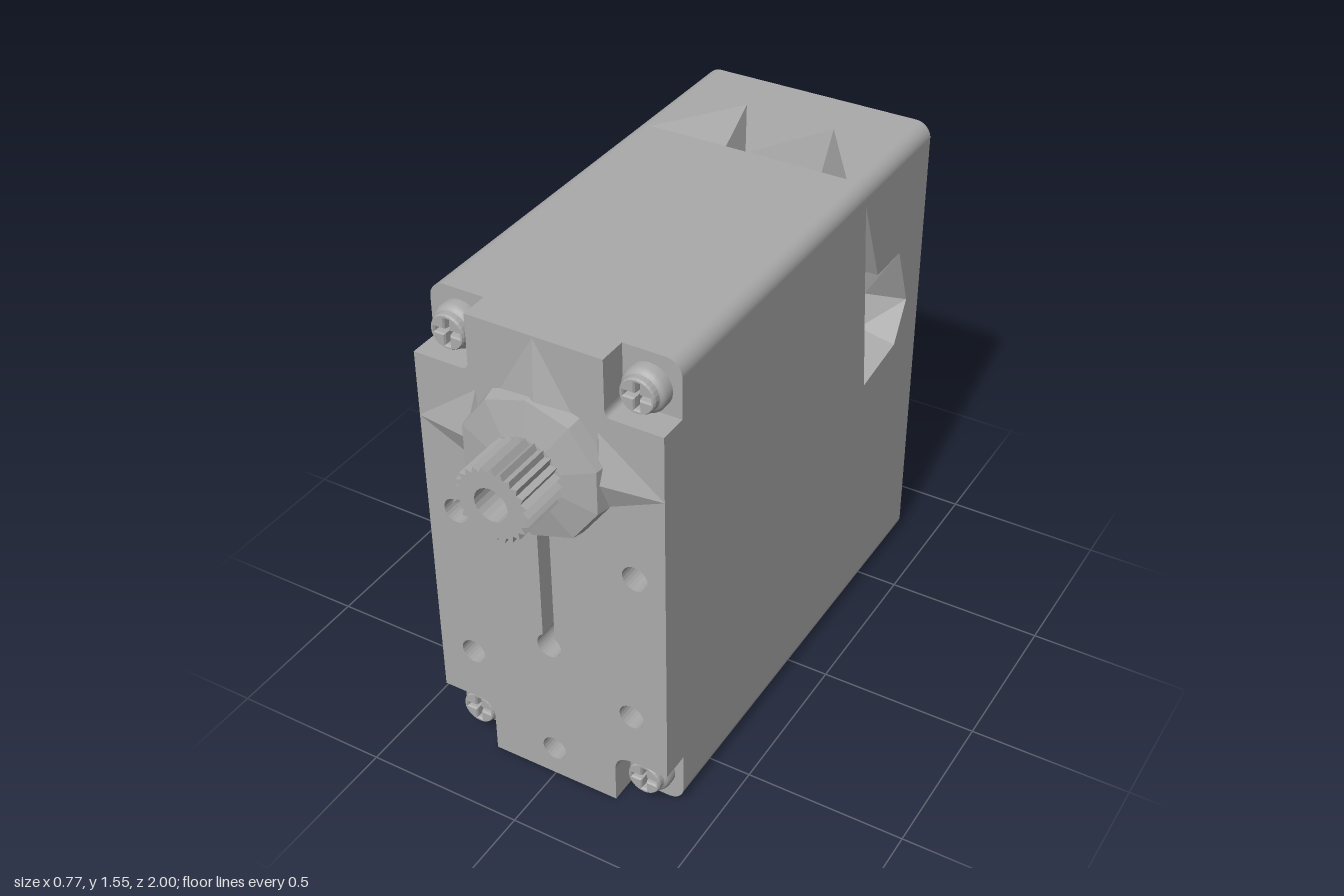
import * as THREE from 'three';

const W = 0.385, H = 1.55, R = 0.05, BACK = -0.78, LEDGE = 0.69, FRONT = 0.78, AXIS = 1.16;
const grey = new THREE.MeshStandardMaterial({ color: 0xaaaaaa, side: THREE.DoubleSide });
grey.name = 'grey plastic';

const poly = (pts, Type = THREE.Shape) => new Type(pts.map(([x, y]) => new THREE.Vector2(x, y)));
const circle = (x, y, r, Type = THREE.Path) => new Type().absarc(x, y, r, 0, Math.PI * 2, false);

function flat(geo) {
  const g = geo.index ? geo.toNonIndexed() : geo;
  g.computeVertexNormals();
  return g;
}

// Flat shape whose (u, v) points are placed in space by a rule
function mapped(shape, place) {
  const g = new THREE.ShapeGeometry(shape, 16), p = g.attributes.position;
  for (let i = 0; i < p.count; i++) p.setXYZ(i, ...place(p.getX(i), p.getY(i), 0));
  return flat(g);
}

function triangles(list) {
  const g = new THREE.BufferGeometry();
  g.setAttribute('position', new THREE.Float32BufferAttribute(list.flat(), 3));
  g.computeVertexNormals();
  return g;
}

function roundedRect() {
  const s = new THREE.Shape();
  s.absarc(W - R, R, R, -Math.PI / 2, 0);
  s.absarc(W - R, H - R, R, 0, Math.PI / 2);
  s.absarc(R - W, H - R, R, Math.PI / 2, Math.PI);
  s.absarc(R - W, R, R, Math.PI, Math.PI * 1.5);
  return s;
}

export function createModel() {
  const model = new THREE.Group();
  const add = (name, geo, x = 0, y = 0, z = 0, parent = model) => {
    const m = new THREE.Mesh(geo, grey);
    m.name = name;
    m.position.set(x, y, z);
    parent.add(m);
    return m;
  };

  // Wall panel with an optional faceted pocket; place(u, v, depth) gives the position
  function wall(name, corners, place, pocket) {
    const shape = poly(corners);
    if (pocket) {
      const { rim, floor, depth } = pocket;
      shape.holes.push(poly(rim, THREE.Path));
      const tris = [];
      rim.forEach((a, i) => {
        const j = (i + 1) % rim.length;
        const A = place(...a, 0), B = place(...rim[j], 0);
        const C = place(...floor[j], depth), D = place(...floor[i], depth);
        tris.push(A, B, C, A, C, D);
      });
      add(name + 'PocketSides', triangles(tris));
      add(name + 'PocketFloor', mapped(poly(floor), (u, v) => place(u, v, depth)));
    }
    add(name, mapped(shape, place));
  }

  // Case walls
  const side = [[BACK, R], [LEDGE, R], [LEDGE, H - R], [BACK, H - R]];
  const lid = [[R - W, BACK], [W - R, BACK], [W - R, LEDGE], [R - W, LEDGE]];
  wall('leftWall', side, (z, y, d) => [W - d, y, z], {
    rim: [[-0.345, 1.48], [-0.46, 1.19], [-0.61, 1.19], [-0.69, 0.98], [-0.62, 0.85], [-0.41, 0.82]],
    floor: [[-0.44, 1.17], [-0.49, 1.17], [-0.6, 1.16], [-0.64, 0.99], [-0.61, 0.88], [-0.48, 0.86]],
    depth: 0.12,
  });
  wall('rightWall', side, (z, y, d) => [d - W, y, z], {
    rim: [[-0.345, 1.48], [-0.56, 1.17], [-0.71, 0.96], [-0.64, 0.84], [-0.345, 0.07]],
    floor: [[-0.46, 1.15], [-0.56, 1.12], [-0.64, 0.97], [-0.61, 0.88], [-0.45, 0.85]],
    depth: 0.09,
  });
  wall('topWall', lid, (x, z, d) => [x, H - d, z], {
    rim: [[-0.33, -0.345], [0.32, -0.345], [0.15, -0.6], [-0.15, -0.61]],
    floor: [[-0.14, -0.36], [0.16, -0.36], [0.13, -0.57], [-0.13, -0.57]],
    depth: 0.14,
  });
  wall('bottomWall', lid, (x, z) => [x, 0, z]);

  // Rounded long edges
  for (let k = 0; k < 4; k++) {
    const g = new THREE.CylinderGeometry(R, R, LEDGE - BACK, 6, 1, true, k * Math.PI / 2, Math.PI / 2);
    g.rotateX(Math.PI / 2);
    add('roundedEdge', g, (k < 2 ? 1 : -1) * (W - R), k === 1 || k === 2 ? H - R : R, (LEDGE + BACK) / 2);
  }
  add('frontLedge', mapped(roundedRect(), (x, y) => [x, y, LEDGE]));

  // Back face with six screw holes
  const back = roundedRect();
  for (const x of [-0.3, 0.3]) for (const y of [0.1, 0.68, 1.45]) {
    back.holes.push(circle(x, y, 0.036));
    const tube = new THREE.CylinderGeometry(0.036, 0.036, 0.12, 16, 1, true).rotateX(Math.PI / 2);
    add('backHoleWall', tube, x, y, BACK + 0.06);
    add('backHoleFloor', new THREE.CircleGeometry(0.036, 16), x, y, BACK + 0.12);
  }
  add('backFace', mapped(back, (x, y) => [x, y, BACK]));

  // Front cover with cut-away corners, holes and a keyhole slot
  const cover = new THREE.Shape();
  cover.moveTo(-0.21, 0).lineTo(0.21, 0).lineTo(0.21, 0.12).quadraticCurveTo(0.21, 0.18, 0.27, 0.18);
  cover.lineTo(W, 0.18).lineTo(W, 1.375).lineTo(0.23, 1.375).quadraticCurveTo(0.21, 1.375, 0.21, 1.4);
  cover.lineTo(0.21, H).lineTo(-0.21, H).lineTo(-0.21, 1.4).quadraticCurveTo(-0.21, 1.375, -0.23, 1.375);
  cover.lineTo(-W, 1.375).lineTo(-W, 0.18).lineTo(-0.27, 0.18).quadraticCurveTo(-0.21, 0.18, -0.21, 0.12);
  for (const s of [-1, 1]) cover.holes.push(circle(s * 0.29, 0.875, 0.04), circle(s * 0.27, 0.36, 0.04));
  cover.holes.push(circle(0, 0.1, 0.04));
  const slot = new THREE.Path();
  slot.moveTo(0.02, 0.97).lineTo(-0.02, 0.97).lineTo(-0.02, 0.54);
  slot.absarc(0, 0.505, 0.04, Math.PI * 2 / 3, Math.PI * 7 / 3, false);
  slot.lineTo(0.02, 0.97);
  cover.holes.push(slot);
  add('frontCover', new THREE.ExtrudeGeometry(cover, { depth: FRONT - LEDGE, bevelEnabled: false, curveSegments: 12 }), 0, 0, LEDGE);

  // Corner screws with a cross recess
  const a = 0.011, b = 0.044;
  const cross = [[a, a], [a, b], [-a, b], [-a, a], [-b, a], [-b, -a], [-a, -a], [-a, -b], [a, -b], [a, -a], [b, -a], [b, a]];
  const head = circle(0, 0, 0.05, THREE.Shape);
  head.holes.push(poly(cross, THREE.Path));
  const headGeo = new THREE.ExtrudeGeometry(head, {
    depth: 0.03, bevelThickness: 0.02, bevelSize: 0.005, bevelSegments: 2, curveSegments: 12,
  });
  const skirt = new THREE.LatheGeometry([[0.068, 0], [0.068, 0.025], [0.062, 0.038], [0.05, 0.047]]
    .map(p => new THREE.Vector2(...p)), 24).rotateX(Math.PI / 2);
  for (const x of [-0.29, 0.29]) for (const y of [0.1, 1.45]) {
    const screw = new THREE.Group();
    screw.name = 'cornerScrew';
    screw.position.set(x, y, LEDGE);
    model.add(screw);
    add('screwSkirt', skirt, 0, 0, 0, screw);
    add('screwHead', headGeo, 0, 0, 0.015, screw);
    add('recessFloor', new THREE.CircleGeometry(0.05, 16), 0, 0, 0.02, screw);
  }

  // Faceted bosses around the output axis
  const boss = (name, profile, sides) => {
    const g = new THREE.LatheGeometry(profile.map(p => new THREE.Vector2(...p)), sides);
    add(name, flat(g.rotateX(Math.PI / 2)), 0, AXIS, 0);
  };
  boss('frontBoss', [[0.23, 0.775], [0.22, 0.825], [0.115, 0.845], [0.05, 0.845]], 10);
  boss('backBossRim', [[0.23, -0.78], [0.23, -0.84], [0.2, -0.842]], 28);
  boss('backBossDish', [[0.215, -0.841], [0.1, -0.8]], 9);

  // Angular ribs running from a boss down to the case face
  const rib = (name, apex, tipA, tipB, inner) => {
    add(name, triangles([apex, tipA, tipB, apex, tipB, inner, apex, inner, tipA]));
  };
  const z = FRONT + 0.001;
  rib('topRib', [0.02, 1.36, 0.82], [0, 1.545, z], [-0.14, 1.3, z], [0.14, 1.3, z]);
  rib('lowerRib', [-0.17, 1.05, 0.81], [-0.3, 0.9, z], [-0.1, 1.0, z], [-0.2, 1.14, z]);
  for (const s of [-1, 1]) {
    rib('sideRib', [s * 0.21, 1.18, 0.815], [s * W, 1.17, z], [s * 0.17, 1.07, z], [s * 0.19, 1.32, z]);
  }
  rib('backRib', [0, 0.95, -0.838], [-0.28, 0.7, BACK - 0.001], [0.28, 0.7, BACK - 0.001], [0, 1, BACK]);

  // Splined output shaft
  const teeth = 25, star = [];
  for (let i = 0; i < teeth * 2; i++) {
    const t = i * Math.PI / teeth, r = i % 2 ? 0.1 : 0.116;
    star.push([r * Math.cos(t), r * Math.sin(t)]);
  }
  const shaft = (name, outline, bore, depth, at) => {
    const s = poly(outline);
    s.holes.push(circle(0, 0, bore));
    add(name, new THREE.ExtrudeGeometry(s, { depth, bevelEnabled: false, curveSegments: 10 }), 0, AXIS, at);
  };
  shaft('splinedShaft', star, 0.052, 0.17, 0.83);
  add('shaftBoreFloor', new THREE.CircleGeometry(0.053, 20), 0, AXIS, 0.87);

  // Faceted rear pivot
  const facets = [...Array(8)].map((_, i) => {
    const t = (i + 0.5) * Math.PI / 4;
    return [0.12 * Math.cos(t), 0.12 * Math.sin(t)];
  });
  shaft('rearPivot', facets, 0.055, 0.22, -1);
  add('pivotBoreFloor', new THREE.CircleGeometry(0.056, 20), 0, AXIS, -0.88);

  return model;
}
